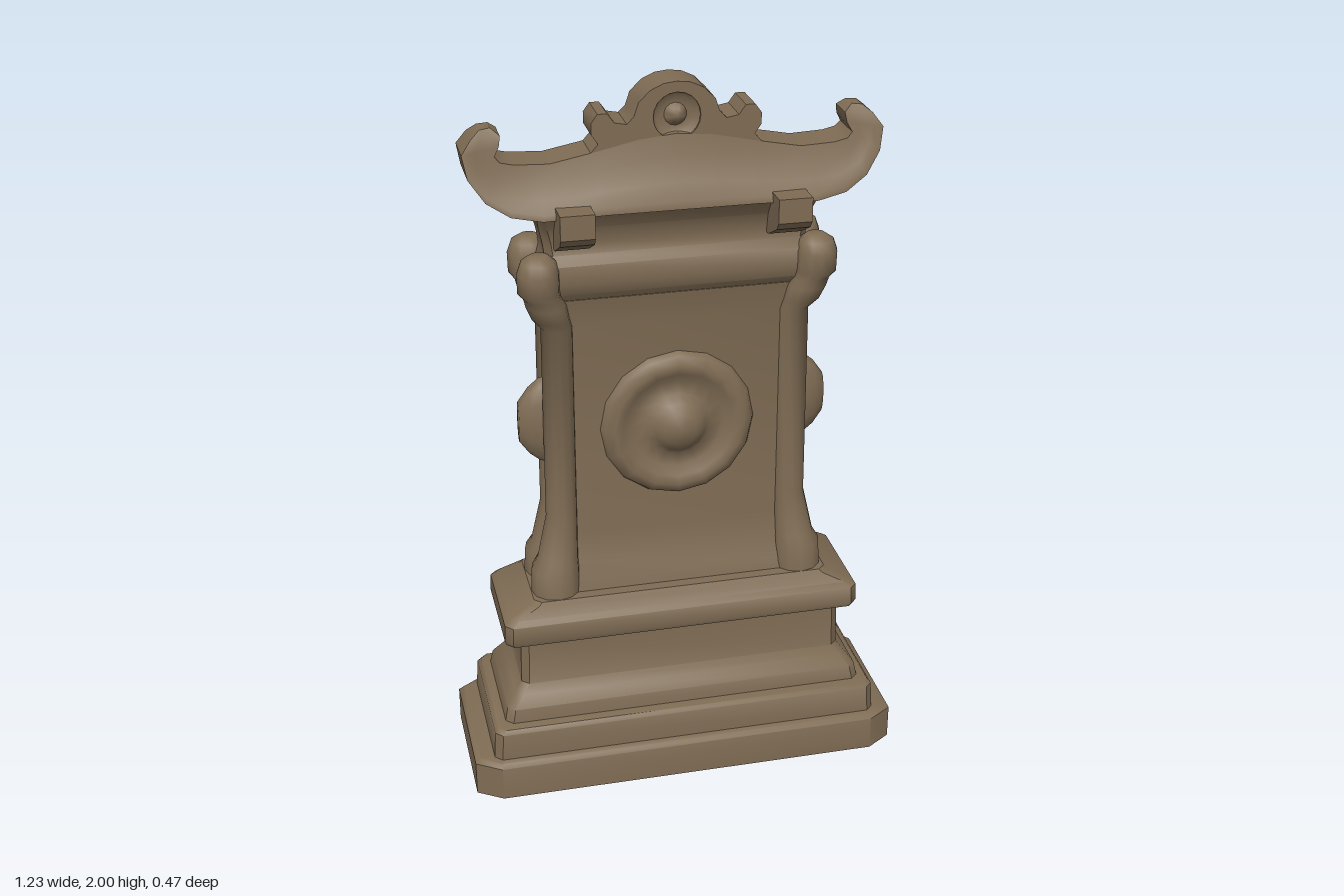
import * as THREE from 'three';
import { toCreasedNormals } from 'three/addons/utils/BufferGeometryUtils.js';

// Skin a list of equal-length point rings, with optional end caps
function loft(rings, { capStart = false, capEnd = true, crease = 0.7 } = {}) {
  const n = rings[0].length, pos = rings.flat(2), idx = [];
  for (let r = 0; r < rings.length - 1; r++) {
    for (let i = 0; i < n; i++) {
      const a = r * n + i, b = r * n + (i + 1) % n;
      idx.push(a, a + n, b + n, a, b + n, b);
    }
  }
  const last = (rings.length - 1) * n;
  for (let i = 1; i < n - 1; i++) {
    if (capStart) idx.push(0, i, i + 1);
    if (capEnd) idx.push(last, last + i + 1, last + i);
  }
  const g = new THREE.BufferGeometry();
  g.setAttribute('position', new THREE.Float32BufferAttribute(pos, 3));
  g.setIndex(idx);
  return toCreasedNormals(g, crease);
}

// Horizontal rectangle with chamfered corners
function slab(y, x, z, cx = 0.02, cz = cx) {
  return [[x, y, -z + cz], [x, y, z - cz], [x - cx, y, z], [-x + cx, y, z],
    [-x, y, z - cz], [-x, y, -z + cz], [-x + cx, y, -z], [x - cx, y, -z]];
}

// Horizontal circle with its own centre
function circle(y, cx, cz, r, n = 12) {
  return Array.from({ length: n }, (_, i) => {
    const a = i / n * Math.PI * 2;
    return [cx + r * Math.cos(a), y, cz + r * Math.sin(a)];
  });
}

function lathe(points, segments) {
  const g = new THREE.LatheGeometry(points.map(p => new THREE.Vector2(...p)), segments);
  return toCreasedNormals(g, 0.9);
}

export function createModel() {
  const group = new THREE.Group();
  const stone = new THREE.MeshStandardMaterial({ color: 0x7f6c54, side: THREE.DoubleSide });
  stone.name = 'brown stone';
  const add = (name, geo) => {
    const m = new THREE.Mesh(geo, stone);
    m.name = name;
    group.add(m);
    return m;
  };

  // Stepped plinth, hollow underneath
  add('plinth', loft([
    slab(0, 0.615, 0.235, 0.07, 0.045), slab(0.1, 0.615, 0.235, 0.07, 0.045),
    slab(0.112, 0.6, 0.225, 0.06, 0.04), slab(0.115, 0.56, 0.21),
    slab(0.195, 0.555, 0.208), slab(0.207, 0.545, 0.2), slab(0.21, 0.52, 0.175),
    slab(0.25, 0.512, 0.17), slab(0.285, 0.485, 0.15), slab(0.31, 0.465, 0.135),
    slab(0.44, 0.462, 0.135), slab(0.452, 0.505, 0.16), slab(0.465, 0.51, 0.165),
    slab(0.515, 0.508, 0.163), slab(0.53, 0.49, 0.15), slab(0.56, 0.43, 0.135),
    slab(0.57, 0.42, 0.13),
  ]));

  // Upright slab between the pillars, flaring at its foot
  add('panel', loft([
    slab(0.56, 0.37, 0.1), slab(0.6, 0.36, 0.092), slab(0.66, 0.345, 0.07),
    slab(0.74, 0.335, 0.06), slab(1.36, 0.335, 0.06), slab(1.44, 0.34, 0.075),
  ]));

  // Beam and neck below the roof
  add('beam', loft([
    slab(1.42, 0.335, 0.06), slab(1.46, 0.35, 0.085), slab(1.49, 0.36, 0.092),
    slab(1.54, 0.36, 0.09), slab(1.565, 0.35, 0.07), slab(1.6, 0.355, 0.07),
    slab(1.64, 0.365, 0.08), slab(1.69, 0.375, 0.115),
  ], { capStart: true }));

  // Corner pillars with flared feet and leaning knobbed capitals: y, x, z, radius
  const pillar = [
    [0.56, 0.35, 0.06, 0.07], [0.64, 0.348, 0.058, 0.068], [0.67, 0.34, 0.054, 0.058],
    [0.8, 0.325, 0.048, 0.044], [1.36, 0.323, 0.046, 0.043], [1.39, 0.34, 0.06, 0.05],
    [1.43, 0.352, 0.068, 0.054], [1.455, 0.362, 0.074, 0.05], [1.475, 0.372, 0.08, 0.056],
    [1.53, 0.373, 0.082, 0.056], [1.56, 0.372, 0.082, 0.046], [1.575, 0.37, 0.08, 0.025],
  ];
  for (const sx of [-1, 1]) {
    for (const sz of [-1, 1]) {
      add('pillar', loft(pillar.map(([y, x, z, r]) => circle(y, sx * x, sz * z, r)), { crease: 0.9 }));
    }
  }

  // Round medallion on the front with a central boss
  const medallion = add('frontMedallion', lathe([
    [0.215, 0], [0.205, 0.022], [0.18, 0.034], [0.155, 0.028], [0.13, 0.01],
    [0.09, 0.012], [0.07, 0.035], [0.045, 0.055], [0, 0.064],
  ], 16));
  medallion.rotation.x = Math.PI / 2;
  medallion.position.set(0, 1.05, 0.058);

  for (const s of [-1, 1]) {
    // Narrow bosses on the sides
    const boss = add('sideBoss', lathe(
      [[0.13, 0], [0.125, 0.04], [0.1, 0.07], [0.06, 0.098], [0, 0.1]], 12));
    boss.rotation.z = -s * Math.PI / 2;
    boss.scale.z = 0.36;
    boss.position.set(s * 0.33, 1.07, 0);

    // Brackets carrying the eaves
    const side = new THREE.Shape([[-0.18, 1.71], [-0.18, 1.645], [-0.165, 1.625], [-0.085, 1.585],
      [0.085, 1.585], [0.165, 1.625], [0.18, 1.645], [0.18, 1.71]].map(p => new THREE.Vector2(...p)));
    const g = new THREE.ExtrudeGeometry(side, { depth: 0.09, bevelEnabled: false });
    g.translate(0, 0, -0.045).rotateY(Math.PI / 2);
    add('bracket', g).position.x = s * 0.283;
  }

  // Roof with upturned ends: lower x, lower y, upper x, upper y, lower and upper half depth
  const half = [
    [0, 1.685, 0, 1.865, 0.125, 0.055], [0.1, 1.685, 0.1, 1.855, 0.125, 0.055],
    [0.2, 1.685, 0.2, 1.833, 0.125, 0.055], [0.36, 1.68, 0.33, 1.808, 0.125, 0.055],
    [0.44, 1.692, 0.42, 1.812, 0.108, 0.055], [0.5, 1.728, 0.455, 1.82, 0.09, 0.055],
    [0.54, 1.785, 0.468, 1.835, 0.07, 0.052], [0.551, 1.845, 0.455, 1.858, 0.056, 0.046],
    [0.525, 1.88, 0.45, 1.885, 0.045, 0.04], [0.5, 1.9, 0.472, 1.903, 0.028, 0.025],
  ];
  const mirrored = half.slice(1).reverse().map(([a, b, c, d, e, f]) => [-a, b, -c, d, e, f]);
  const across = [[0, 1], [0.12, 0.97], [0.35, 0.55], [0.7, 0.18], [1, 0]]; // height, spread
  add('roof', loft([...mirrored, ...half].map(([bx, by, tx, ty, hb, ht]) => {
    const at = ([t, w], s) => [bx + (tx - bx) * t, by + (ty - by) * t, s * (ht + (hb - ht) * w)];
    return [...across.map(p => at(p, 1)), ...across.slice().reverse().map(p => at(p, -1))];
  }), { capStart: true, crease: 0.8 }));

  // Scrolled crest with a round dish through its centre
  const edge = [[0.24, 1.81], [0.205, 1.85], [0.222, 1.875], [0.222, 1.905], [0.205, 1.928],
    [0.18, 1.928], [0.162, 1.903], [0.13, 1.897], [0.112, 1.915], [0.1, 1.95],
    [0.07, 1.98], [0.035, 1.996]];
  const outline = new THREE.Shape([...edge, [0, 2], ...edge.slice().reverse().map(([x, y]) => [-x, y])]
    .map(p => new THREE.Vector2(...p)));
  const hole = new THREE.Path();
  hole.absarc(0, 1.91, 0.062, 0, Math.PI * 2, true);
  outline.holes.push(hole);
  const crest = new THREE.ExtrudeGeometry(outline, { depth: 0.11, bevelEnabled: false, curveSegments: 10 });
  crest.translate(0, 0, -0.055);
  add('crest', toCreasedNormals(crest, 0.7));

  // Shallow dish and boss on both faces of the crest
  for (const s of [-1, 1]) {
    const dish = add('crestDish', lathe(
      [[0.066, 0.052], [0.05, 0.036], [0.03, 0.034], [0.018, 0.05], [0, 0.058]], 14));
    dish.rotation.x = s * Math.PI / 2;
    dish.position.y = 1.91;
  }

  return group;
}
